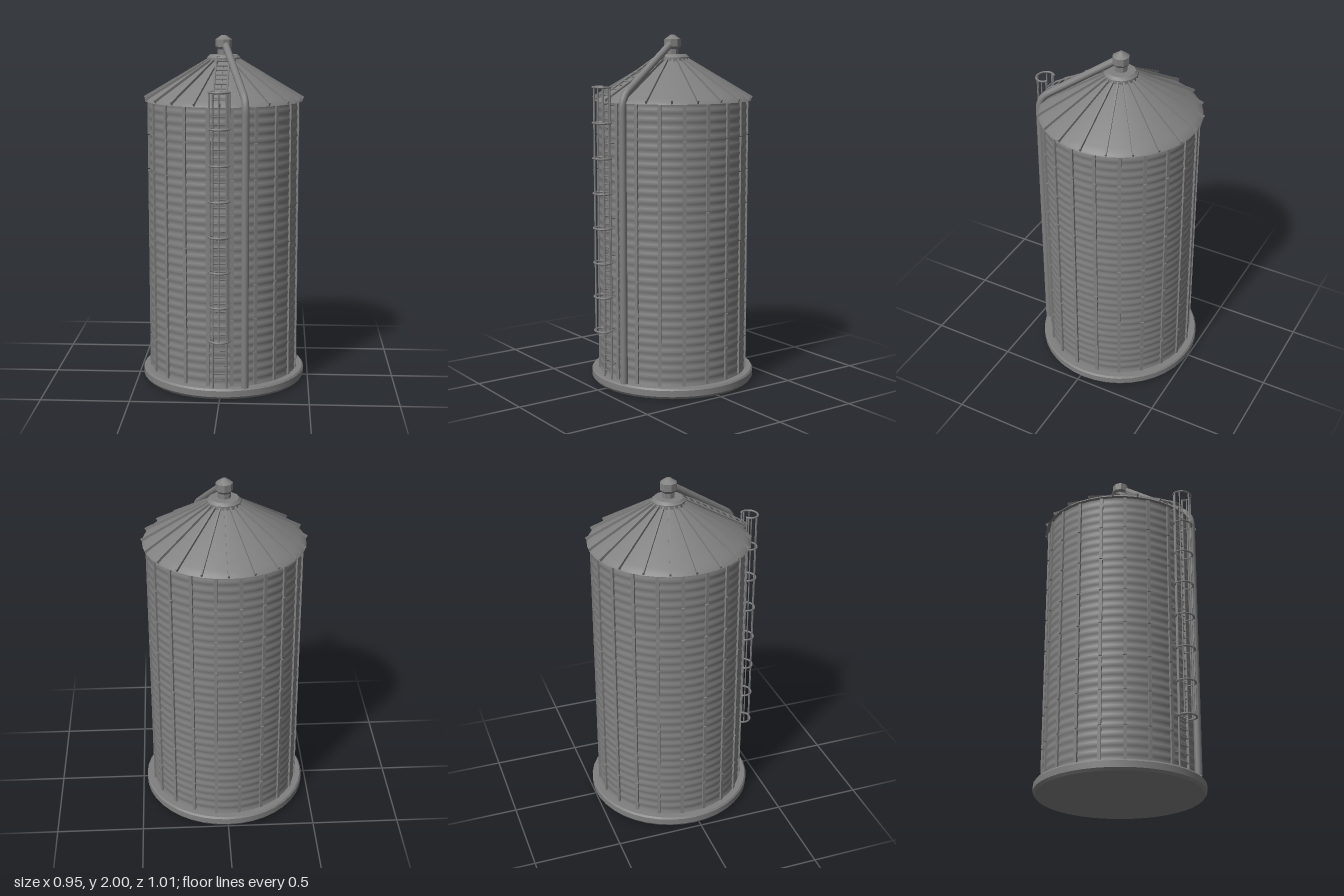
import * as THREE from 'three';
import { mergeGeometries, toCreasedNormals } from 'three/addons/utils/BufferGeometryUtils.js';

const V = (x, y, z) => new THREE.Vector3(x, y, z);
const SIDES = 20;

export function createModel() {
  const model = new THREE.Group();
  const silo = new THREE.Group();
  silo.name = 'silo';
  silo.position.z = -0.025;
  model.add(silo);

  const steel = new THREE.MeshStandardMaterial({ color: 0x808080, side: THREE.DoubleSide });
  steel.name = 'grey steel';

  function add(name, geometry, parent = silo) {
    const mesh = new THREE.Mesh(geometry, steel);
    mesh.name = name;
    parent.add(mesh);
    return mesh;
  }

  // Surface of revolution with crisp edges, from [radius, height] pairs
  function turned(profile, segments) {
    const lathe = new THREE.LatheGeometry(profile.map(([r, y]) => new THREE.Vector2(r, y)), segments);
    return toCreasedNormals(lathe, 0.6);
  }

  // Straight round bar between two points
  function bar(a, b, radius, sides = 6) {
    const dir = b.clone().sub(a);
    const g = new THREE.CylinderGeometry(radius, radius, dir.length(), sides);
    g.applyQuaternion(new THREE.Quaternion().setFromUnitVectors(V(0, 1, 0), dir.normalize()));
    const mid = a.clone().add(b).multiplyScalar(0.5);
    return g.translate(mid.x, mid.y, mid.z);
  }

  // Round concrete footing
  add('footing', turned([[0, 0], [0.465, 0], [0.476, 0.015], [0.476, 0.05], [0.468, 0.06], [0, 0.06]], 40));

  // Wall with fine horizontal corrugation
  const wall = [];
  for (let i = 0; i <= 128; i++) {
    wall.push(new THREE.Vector2(0.427 + 0.003 * Math.cos(i * Math.PI / 2), 0.06 + 1.585 * i / 128));
  }
  add('wall', new THREE.LatheGeometry(wall, 60));

  // Upright stiffeners, in bolted lengths, around the wall
  const stiffeners = [];
  for (let i = 0; i < SIDES; i++) {
    for (let j = 0; j < 8; j++) {
      const g = new THREE.BoxGeometry(0.018, 0.19, 0.012);
      g.translate(0, 0.158 + j * 0.197, 0.431);
      stiffeners.push(g.rotateY((i + 0.5) * 2 * Math.PI / SIDES));
    }
  }
  add('wallStiffeners', mergeGeometries(stiffeners));

  // Conical roof with a turned-down eave
  add('roof', turned([[0.43, 1.632], [0.452, 1.632], [0.445, 1.642], [0.415, 1.662], [0.085, 1.858], [0, 1.865]], 40));

  // Raised seams running down the roof
  const seams = [];
  const seamLength = Math.hypot(0.375, 0.222);
  for (let i = 0; i < SIDES; i++) {
    const g = new THREE.BoxGeometry(0.009, 0.02, seamLength);
    g.rotateX(Math.atan2(0.222, 0.375));
    g.translate(0, 1.754, 0.267);
    seams.push(g.rotateY(i * 2 * Math.PI / SIDES));
  }
  add('roofSeams', mergeGeometries(seams));

  // Collar and filling head at the peak
  add('roofCollar', turned([[0.095, 1.85], [0.095, 1.875], [0.08, 1.89], [0, 1.893]], 12));
  add('fillingHead', turned([[0.036, 1.885], [0.036, 1.92], [0.048, 1.935], [0.048, 1.975], [0.012, 2], [0, 2]], 8));

  // Filling pipe: up the wall, bent over the eave and on to the head
  const pipePath = new THREE.CurvePath();
  const foot = V(0.14, 0.06, 0.435);
  const bendStart = V(0.14, 1.6, 0.435);
  const bendEnd = V(0.122, 1.705, 0.38);
  pipePath.add(new THREE.LineCurve3(foot, bendStart));
  pipePath.add(new THREE.QuadraticBezierCurve3(bendStart, V(0.14, 1.67, 0.435), bendEnd));
  pipePath.add(new THREE.LineCurve3(bendEnd, V(0.01, 1.95, 0.02)));
  add('fillingPipe', new THREE.TubeGeometry(pipePath, 90, 0.021, 10, false));

  // Ladder up the wall
  const ladder = new THREE.Group();
  ladder.name = 'ladder';
  silo.add(ladder);
  const wallLadder = [];
  for (const x of [-0.038, 0.038]) wallLadder.push(bar(V(x, 0.06, 0.45), V(x, 1.72, 0.45), 0.006));
  for (let y = 0.1; y < 1.71; y += 0.045) wallLadder.push(bar(V(-0.038, y, 0.45), V(0.038, y, 0.45), 0.004, 5));
  for (let y = 0.15; y < 1.65; y += 0.21) {
    for (const x of [-0.038, 0.038]) wallLadder.push(bar(V(x, y, 0.41), V(x, y, 0.45), 0.004, 5));
  }
  add('wallLadder', mergeGeometries(wallLadder), ladder);

  // Ladder along the roof slope
  const roofLadder = [];
  const low = V(0, 1.68, 0.43);
  const high = V(0, 1.882, 0.08);
  for (const x of [-0.036, 0.036]) {
    roofLadder.push(bar(low.clone().setX(x), high.clone().setX(x), 0.006));
    roofLadder.push(bar(V(x, 1.68, 0.43), V(x, 1.66, 0.45), 0.006));
  }
  for (let i = 0; i <= 9; i++) {
    const p = low.clone().lerp(high, i / 9);
    roofLadder.push(bar(p.clone().setX(-0.036), p.clone().setX(0.036), 0.004, 5));
  }
  add('roofLadder', mergeGeometries(roofLadder), ladder);

  // Safety cage: hoops joined by upright straps
  const cage = [];
  const outline = [[-0.04, 0.445], [-0.055, 0.47], [-0.05, 0.5], [-0.03, 0.52],
    [0, 0.527], [0.03, 0.52], [0.05, 0.5], [0.055, 0.47], [0.04, 0.445]];
  for (let i = 0; i < 8; i++) {
    const y = 0.345 + i * 0.196;
    const curve = new THREE.CatmullRomCurve3(outline.map(([x, z]) => V(x, y, z)));
    cage.push(new THREE.TubeGeometry(curve, 24, 0.006, 6, false));
  }
  for (const k of [1, 2, 4, 6, 7]) {
    const [x, z] = outline[k];
    cage.push(bar(V(x, 0.34, z), V(x, 1.72, z), 0.004));
  }
  add('ladderCage', mergeGeometries(cage), ladder);

  return model;
}
